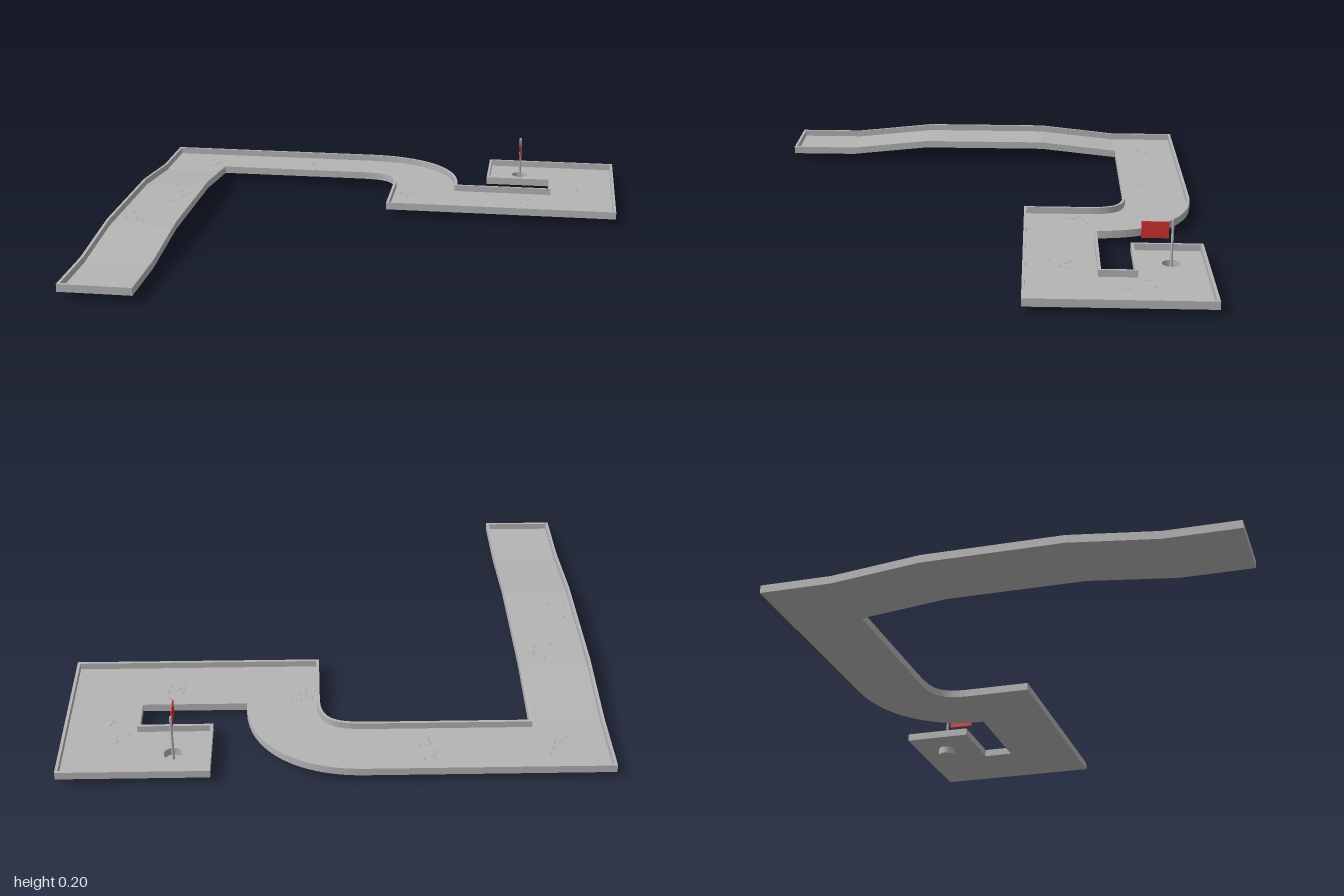
import * as THREE from 'three';

const grey = new THREE.MeshStandardMaterial({ color: 0xb4b4b4 });
grey.name = 'course grey';
const greyOpen = grey.clone();
greyOpen.side = THREE.DoubleSide;
const red = new THREE.MeshStandardMaterial({ color: 0xd03030 });
red.name = 'flag red';

const BASE = 0.03, RIM = 0.03, FLOOR = 0.004, W = 0.011, RISE = 0.035;
const FLAT = 0.26, RAMP = 0.59;   // hump plateau and ramp ends along z
const HOLE = { x: 0.59, z: -0.73, r: 0.034 };
const V = (x, z) => new THREE.Vector2(x, z);

// height of the hump, which only exists on the long left-hand lane
function lift(x, z) {
  if (x > -0.7) return 0;
  return RISE * THREE.MathUtils.clamp((RAMP - Math.abs(z)) / (RAMP - FLAT), 0, 1);
}

// plan outline in x, z
function outline() {
  const outer = new THREE.CubicBezierCurve(V(-0.1, -0.86), V(0.16, -0.86), V(0.33, -0.7), V(0.33, -0.47));
  const inner = new THREE.CubicBezierCurve(V(0.055, -0.46), V(0.048, -0.575), V(0, -0.59), V(-0.14, -0.59));
  const kinks = [RAMP, FLAT, -FLAT, -RAMP];
  return [
    V(-1, 0.86), ...kinks.map(z => V(-1, z)), V(-1, -0.86),
    ...outer.getPoints(24),
    V(0.72, -0.47), V(0.72, -0.59), V(0.45, -0.59), V(0.45, -0.86),
    V(1, -0.86), V(1, -0.19), V(0.055, -0.19),
    ...inner.getPoints(16),
    ...kinks.reverse().map(z => V(-0.72, z)), V(-0.72, 0.86),
  ];
}

// mitred offset towards the inside of the course
function inset(pts, w) {
  const normal = (a, b) => {
    const d = b.clone().sub(a).normalize();
    return V(-d.y, d.x);
  };
  return pts.map((p, i) => {
    const n1 = normal(pts.at(i - 1), p), n2 = normal(p, pts[(i + 1) % pts.length]);
    return n1.clone().add(n2).multiplyScalar(w / (1 + n1.dot(n2))).add(p);
  });
}

// rectangular rim swept round the closed outline
function rimGeometry(outer, inner) {
  const sections = outer.map((o, i) => {
    const n = inner[i], y = BASE + lift(o.x, o.y);
    return [[o.x, y, o.y], [o.x, y + RIM, o.y], [n.x, y + RIM, n.y], [n.x, y, n.y]];
  });
  const pos = [];
  sections.forEach((s, i) => {
    const t = sections[(i + 1) % sections.length];
    for (let k = 0; k < 4; k++) {
      const m = (k + 1) % 4;
      pos.push(...s[k], ...s[m], ...t[m], ...s[k], ...t[m], ...t[k]);
    }
  });
  const g = new THREE.BufferGeometry();
  g.setAttribute('position', new THREE.Float32BufferAttribute(pos, 3));
  g.computeVertexNormals();
  return g;
}

// level floor with the hole cut out
function mainFloorGeometry(inner) {
  const pts = inner.filter(p => !(p.x < -0.7 && p.y > -0.58));
  const shape = new THREE.Shape(pts.map(p => V(p.x, -p.y)));
  shape.holes.push(new THREE.Path().absarc(HOLE.x, -HOLE.z, HOLE.r, 0, Math.PI * 2));
  return new THREE.ExtrudeGeometry(shape, { depth: FLOOR, bevelEnabled: false, curveSegments: 16 })
    .rotateX(-Math.PI / 2).translate(0, BASE, 0);
}

// humped floor, a side profile extruded across the lane
function laneFloorGeometry() {
  const zs = [-RAMP - W, -RAMP, -FLAT, FLAT, RAMP, 0.86 - W];
  const low = zs.map(z => V(z, BASE + lift(-1, z)));
  const high = low.map(p => V(p.x, p.y + FLOOR)).reverse();
  return new THREE.ExtrudeGeometry(new THREE.Shape([...low, ...high]), { depth: 0.28 - 2 * W, bevelEnabled: false })
    .rotateY(-Math.PI / 2).translate(-0.72 - W, 0, 0);
}

export function createModel() {
  const group = new THREE.Group();
  const add = (name, geometry, material, x = 0, y = 0, z = 0) => {
    const mesh = new THREE.Mesh(geometry, material);
    mesh.name = name;
    mesh.position.set(x, y, z);
    group.add(mesh);
    return mesh;
  };

  const outer = outline(), inner = inset(outer, W);
  add('rim', rimGeometry(outer, inner), grey);
  add('mainFloor', mainFloorGeometry(inner), grey);
  add('humpedLaneFloor', laneFloorGeometry(), grey);

  // cup, pole and flag
  const { x, z, r } = HOLE;
  add('cupWall', new THREE.CylinderGeometry(r, r, BASE + FLOOR, 32, 1, true), greyOpen, x, (BASE + FLOOR) / 2, z);
  add('cupBottom', new THREE.CylinderGeometry(r, r, 0.003, 32), grey, x, 0.0015, z);
  add('pole', new THREE.CylinderGeometry(0.005, 0.005, 0.2, 12), grey, x, 0.102, z);
  add('flag', new THREE.BoxGeometry(0.004, 0.063, 0.1), red, x, 0.163, z + 0.063);

  // clusters of very low pebbles on the floor
  let seed = 7;
  const rand = () => (seed = (seed * 16807) % 2147483647) / 2147483647;
  const pebble = new THREE.SphereGeometry(1, 8, 6);
  const clusters = [[-0.8, -0.72], [-0.34, -0.72], [0.13, -0.37], [0.6, -0.34], [0.8, -0.6], [-0.82, -0.13], [-0.92, 0.12]];
  for (const [cx, cz] of clusters) {
    for (let i = 0; i < 7; i++) {
      const px = cx + (rand() - 0.5) * 0.09, pz = cz + (rand() - 0.5) * 0.15;
      const s = 0.006 + rand() * 0.008;
      add('pebble', pebble, grey, px, BASE + FLOOR + lift(px, pz), pz).scale.set(s, 0.0018, s);
    }
  }
  return group;
}
